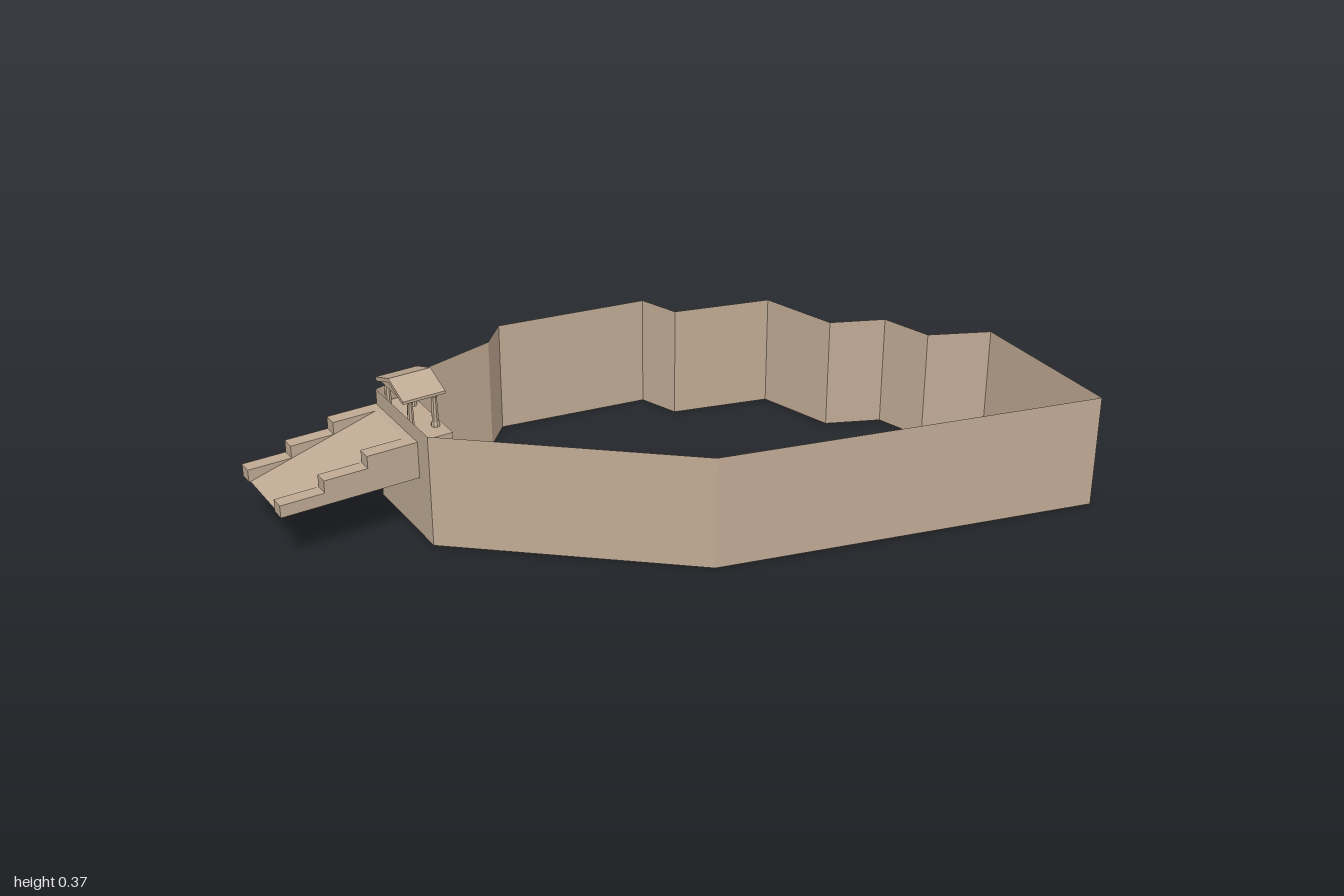
import * as THREE from 'three';

const material = new THREE.MeshStandardMaterial({ color: 0xc0aa94, flatShading: true, side: THREE.DoubleSide });

function add(parent, name, geometry, x = 0, y = 0, z = 0) {
  const mesh = new THREE.Mesh(geometry, material);
  mesh.name = name;
  mesh.position.set(x, y, z);
  parent.add(mesh);
  return mesh;
}

// Extrude a side profile, centred on its depth axis
function prism(points, depth) {
  const shape = new THREE.Shape(points.map(([x, y]) => new THREE.Vector2(x, y)));
  return new THREE.ExtrudeGeometry(shape, { depth, bevelEnabled: false }).translate(0, 0, -depth / 2);
}

// Thin vertical wall following a closed plan outline
function wallGeometry(outline, height) {
  const pos = [];
  outline.forEach(([ax, az], i) => {
    const [bx, bz] = outline[(i + 1) % outline.length];
    pos.push(ax, 0, az, ax, height, az, bx, height, bz);
    pos.push(ax, 0, az, bx, height, bz, bx, 0, bz);
  });
  const g = new THREE.BufferGeometry();
  g.setAttribute('position', new THREE.Float32BufferAttribute(pos, 3));
  g.computeVertexNormals();
  return g;
}

export function createModel() {
  const model = new THREE.Group();
  model.name = 'walledHilltop';

  // Enclosing wall
  const outline = [
    [-0.675, -0.07], [-0.38, -0.265], [-0.342, -0.352], [0.042, -0.425], [0.11, -0.342],
    [0.36, -0.363], [0.48, -0.2], [0.622, -0.19], [0.7, -0.082], [0.86, -0.068],
    [0.995, 0.323], [0.042, 0.42], [-0.58, 0.19],
  ];
  add(model, 'enclosingWall', wallGeometry(outline, 0.29));

  // Gateway: ramp, stepped side walls, landing and shrine, turned to the wall
  const gate = new THREE.Group();
  gate.name = 'gateway';
  gate.position.set(-0.757, 0, 0.075);
  gate.rotation.y = 0.349;
  model.add(gate);

  const base = 0.155, rise = 0.0315, seg = 0.109, start = -2 * seg, width = 0.225, curb = 0.035;
  const top = base + 3 * rise;
  add(gate, 'ramp', prism([[start + 0.004, base], [start + 3 * seg, base], [start + 3 * seg, top]], width - 2 * curb));
  add(gate, 'landing', new THREE.BoxGeometry(seg, 3 * rise, width), start + 3.5 * seg, base + 1.5 * rise, 0);

  // Each side wall is a single stepped profile
  const steps = [[start, base]];
  for (let i = 0; i < 3; i++) {
    steps.push([start + i * seg, base + (i + 1) * rise], [start + (i + 1) * seg, base + (i + 1) * rise]);
  }
  steps.push([start + 3 * seg, base]);
  for (const s of [-1, 1]) {
    add(gate, s > 0 ? 'steppedWallFront' : 'steppedWallBack', prism(steps, curb), 0, 0, s * (width - curb) / 2);
  }

  // Shrine on the landing
  const shrine = new THREE.Group();
  shrine.name = 'shrine';
  shrine.position.set(0.168, top, 0);
  gate.add(shrine);

  // Four tapered columns with flared bases and capitals
  const profile = [[0, 0], [0.011, 0], [0.0105, 0.006], [0.0085, 0.012], [0.008, 0.045], [0.0065, 0.074], [0.0105, 0.083], [0, 0.083]]
    .map(([r, y]) => new THREE.Vector2(r, y));
  const column = new THREE.LatheGeometry(profile, 8);
  for (const x of [-0.031, 0.031]) {
    for (const z of [-0.061, 0.061]) add(shrine, 'column', column, x, 0, z);
  }

  // Gable and overhanging roof, with the ridge along the ramp
  const gable = add(shrine, 'gable', prism([[-0.07, 0.083], [0.07, 0.083], [0.07, 0.088], [0, 0.114], [-0.07, 0.088]], 0.094));
  const roof = add(shrine, 'roof', prism([
    [-0.075, 0.084], [-0.064, 0.084], [0, 0.109], [0.064, 0.084], [0.075, 0.084], [0.075, 0.091], [0, 0.119], [-0.075, 0.091],
  ], 0.108));
  gable.rotation.y = roof.rotation.y = Math.PI / 2;

  return model;
}
